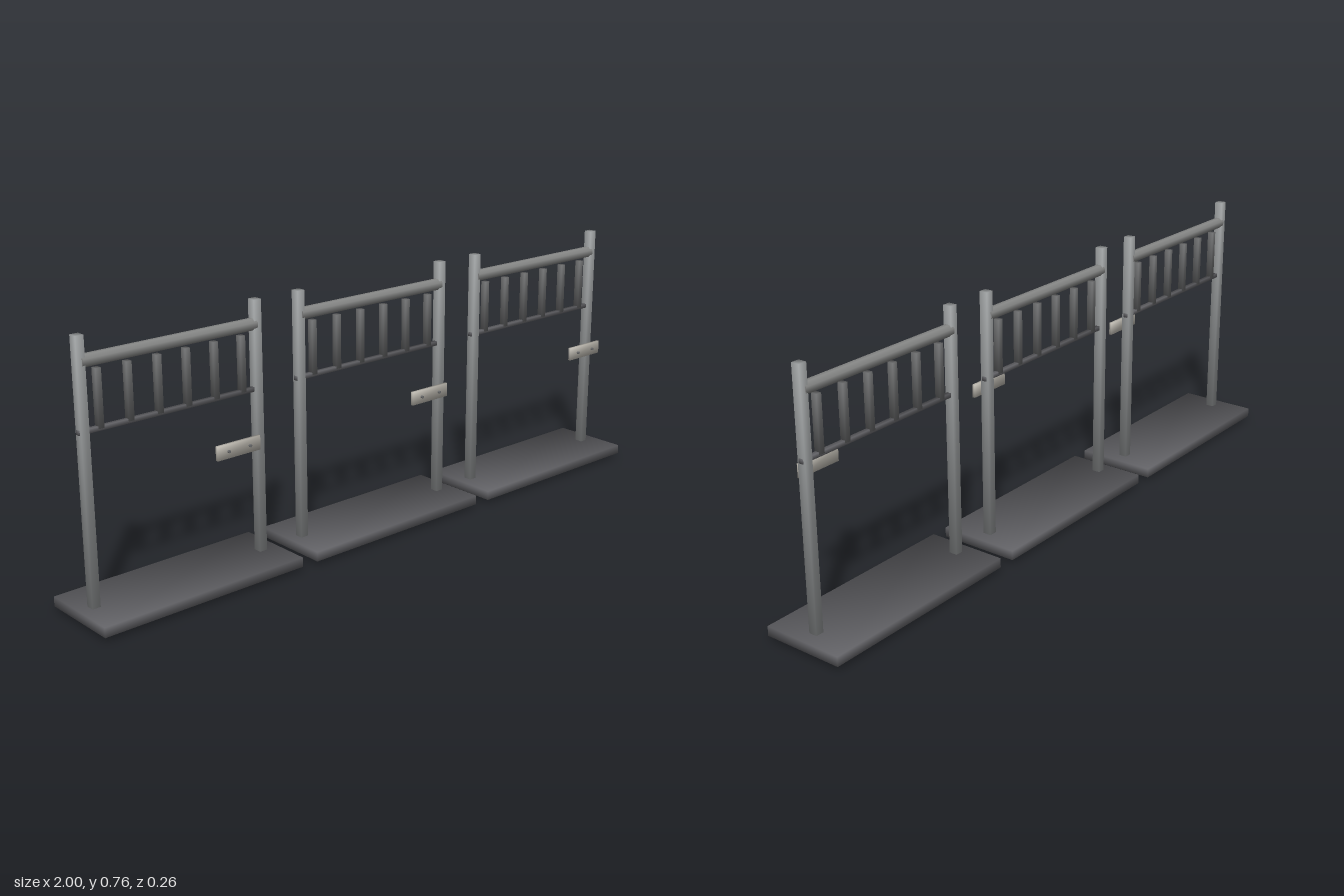
import * as THREE from 'three';

const paint = (color) => new THREE.MeshStandardMaterial({ color });
const postGrey = paint(0x9a9d9e);
const railGrey = paint(0x868786);
const barGrey = paint(0x6c6d6e);
const darkGrey = paint(0x626266);
const plateGrey = paint(0xbdb9b0);
const Z = -0.0065; // plane of the upright frame

function add(group, name, geometry, material, x, y, z) {
  const mesh = new THREE.Mesh(geometry, material);
  mesh.name = name;
  mesh.position.set(x, y, z);
  group.add(mesh);
}

// Box shaded smoothly across its edges: each normal points out through its corner
function smoothBox(w, h, d) {
  const g = new THREE.BoxGeometry(w, h, d);
  const p = g.attributes.position;
  const n = new THREE.Vector3();
  for (let i = 0; i < p.count; i++) {
    n.set(Math.sign(p.getX(i)), Math.sign(p.getY(i)), Math.sign(p.getZ(i))).normalize();
    g.attributes.normal.setXYZ(i, n.x, n.y, n.z);
  }
  return g;
}

function createFrame() {
  const frame = new THREE.Group();
  frame.name = 'standingFrame';

  add(frame, 'basePlate', smoothBox(0.632, 0.028, 0.242), darkGrey, 0, 0.028, -0.007);

  // Posts pass through the base
  const post = smoothBox(0.024, 0.757, 0.025);
  for (const side of [-1, 1]) {
    add(frame, side < 0 ? 'rightPost' : 'leftPost', post, postGrey, -0.003 + side * 0.268, 0.3785, Z);
  }

  // Octagonal top rail and thin square lower rail
  const rail = new THREE.CylinderGeometry(0.0172, 0.0172, 0.53, 8);
  rail.rotateY(Math.PI / 8).rotateZ(Math.PI / 2);
  add(frame, 'topRail', rail, railGrey, -0.003, 0.69, Z);
  add(frame, 'lowerRail', smoothBox(0.565, 0.012, 0.013), darkGrey, -0.003, 0.511, Z);

  // Row of short bars standing on the lower rail
  const bar = smoothBox(0.016, 0.155, 0.018);
  for (let i = 0; i < 6; i++) {
    add(frame, 'bar', bar, barGrey, -0.003 + (i - 2.5) * 0.0878, 0.5885, Z);
  }

  // Small plate in front of the frame, with two studs
  const plate = new THREE.Group();
  plate.name = 'frontPlate';
  plate.position.set(0.104, 0.413, 0.12);
  add(plate, 'plate', smoothBox(0.137, 0.039, 0.008), plateGrey, 0, 0, 0);
  const stud = new THREE.CylinderGeometry(0.004, 0.004, 0.008, 8).rotateX(Math.PI / 2);
  for (const side of [-1, 1]) add(plate, 'stud', stud, barGrey, side * 0.034, 0, 0.006);
  frame.add(plate);
  return frame;
}

export function createModel() {
  const model = new THREE.Group();
  model.name = 'threeFrames';
  for (const x of [-0.684, 0, 0.684]) {
    const frame = createFrame();
    frame.position.x = x;
    model.add(frame);
  }
  return model;
}
